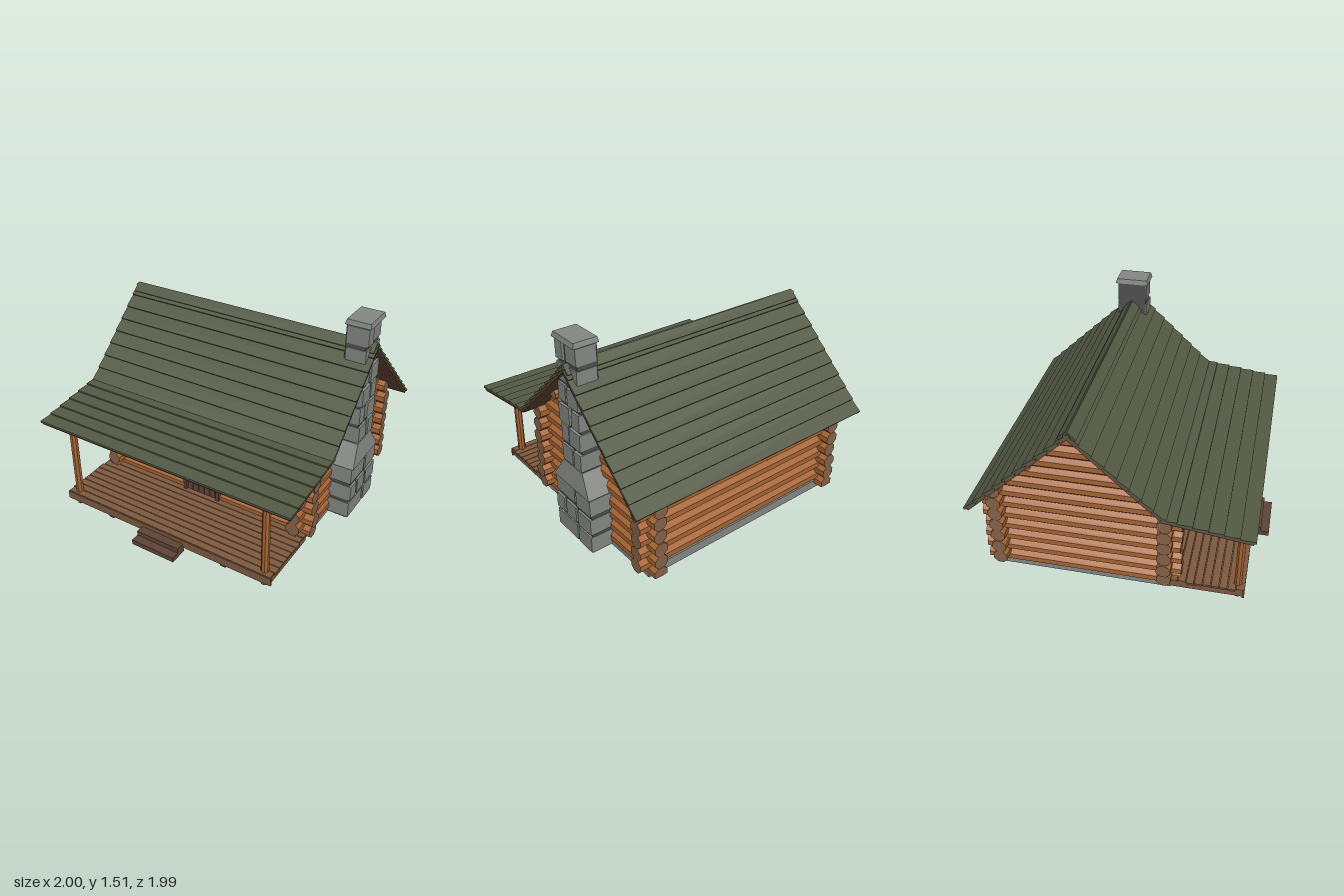
import * as THREE from 'three';

const mat = (name, color) => {
  const m = new THREE.MeshStandardMaterial({ color });
  m.name = name;
  return m;
};

export function createModel() {
  const M = {
    log: mat('log', 0xa66434), end: mat('logEnd', 0x86634a), roof: mat('shingle', 0x555a46),
    sheathing: mat('sheathing', 0x6b4a36), deck: mat('deckWood', 0x7f5b40), trim: mat('darkWood', 0x5e4537),
    stone: mat('stone', 0x858885), mortar: mat('mortar', 0x505050), iron: mat('iron', 0x3e4042),
    glass: mat('glass', 0x38566e),
  };
  const root = new THREE.Group();
  root.name = 'logCabin';
  let seed = 7;
  const rnd = (a = 0, b = 1) => {
    seed = (seed * 16807) % 2147483647;
    return a + (b - a) * seed / 2147483647;
  };
  const group = (name, parent = root) => {
    const g = new THREE.Group();
    g.name = name;
    parent.add(g);
    return g;
  };
  const add = (parent, name, geo, material) => {
    const m = new THREE.Mesh(geo, material);
    m.name = name;
    parent.add(m);
    return m;
  };
  // box given by its limits on each axis
  const box = (parent, name, material, x0, x1, y0, y1, z0, z1) => {
    const m = add(parent, name, new THREE.BoxGeometry(x1 - x0, y1 - y0, z1 - z0), material);
    m.position.set((x0 + x1) / 2, (y0 + y1) / 2, (z0 + z1) / 2);
    return m;
  };
  // faceted eight-sided log; rule(v) may trim the points
  const log = (parent, name, axis, r, len, x, y, z, rule) => {
    let g = new THREE.CylinderGeometry(r, r, len, 8).rotateY(Math.PI / 8);
    if (axis === 'x') g.rotateZ(-Math.PI / 2);
    if (axis === 'z') g.rotateX(Math.PI / 2);
    g.translate(x, y, z);
    if (rule) {
      const p = g.attributes.position, v = new THREE.Vector3();
      for (let i = 0; i < p.count; i++) {
        rule(v.fromBufferAttribute(p, i));
        p.setXYZ(i, v.x, v.y, v.z);
      }
    }
    g = g.toNonIndexed();
    g.computeVertexNormals();
    return add(parent, name, g, [M.log, M.end, M.end]);
  };

  const RIDGE_Z = -0.25, SLOPE = 0.947, PITCH = 0.0977, R = 0.053;

  // Foundation
  box(root, 'foundation', M.stone, -0.82, 0.82, 0, 0.066, -0.865, 0.37);

  // Front and back walls
  const walls = group('logWalls');
  for (const z of [0.33, -0.83])
    for (let i = 0; i < 7; i++)
      log(walls, 'longLog', 'x', R, 1.78 + rnd(-0.015, 0.02), 0, 0.115 + PITCH * i, z);

  // Side walls and gables, trimmed under the roof
  for (const x of [-0.78, 0.78])
    for (let i = 0; i < 13; i++) {
      const y = 0.066 + PITCH * i;
      log(walls, 'sideLog', 'z', R, 1.38 + rnd(-0.015, 0.015), x, y, RIDGE_Z, (v) => {
        v.y = Math.max(v.y, 0.042);
        const half = Math.max(0, (1.29 - v.y) / SLOPE);
        v.z = Math.max(v.z, RIDGE_Z - half);
        if (y > 0.72) v.z = Math.min(v.z, RIDGE_Z + half);
      });
    }

  // Purlins and ridge pole
  const beams = group('roofBeams');
  for (const [y, z] of [[0.955, 0.075], [0.955, -0.575], [1.235, RIDGE_Z]])
    log(beams, 'purlin', 'x', 0.037, 1.78, 0, y, z);

  // Roof slope: sheathing below and overlapping shingle courses above
  const slope = (name, zTop, yTop, zEnd, yEnd, n, ridgeCap) => {
    const g = group(name);
    const run = Math.abs(zEnd - zTop), len = Math.hypot(run, yTop - yEnd), step = len / n;
    g.rotation.order = 'YXZ';
    g.rotation.set(Math.atan2(yTop - yEnd, run), zEnd < zTop ? Math.PI : 0, 0);
    g.position.set(0, yTop, zTop);
    box(g, 'sheathing', M.sheathing, -0.995, 0.995, -0.036, -0.02, 0, len - 0.012);
    for (let i = 0; i < n; i++) {
      const c = box(g, 'shingleCourse', M.roof, -1, 1, -0.021, -0.005, i * step - 0.005, (i + 1) * step);
      c.rotation.x = -0.11;
    }
    if (ridgeCap) box(g, 'ridgeCap', M.roof, -0.99, 0.99, -0.006, 0.008, 0, 0.075);
  };
  slope('backRoof', RIDGE_Z, 1.335, -0.995, 0.625, 10, true);
  slope('frontRoof', RIDGE_Z, 1.335, 0.36, 0.76, 8, true);
  slope('porchRoof', 0.33, 0.772, 0.925, 0.692, 6, false);

  // Porch deck
  const porch = group('porch');
  box(porch, 'deckFrame', M.deck, -0.85, 0.85, 0.042, 0.092, 0.37, 0.868);
  for (let i = 0; i < 9; i++) {
    const z = 0.37 + i * 0.0567, j = rnd(0, 0.012);
    box(porch, 'deckPlank', M.deck, -0.865 + j, 0.865 - j, 0.09, 0.106, z, z + 0.051);
  }
  box(porch, 'deckFascia', M.deck, -0.86, 0.86, 0.04, 0.1, 0.866, 0.88);
  for (const x of [-0.48, 0.48]) box(porch, 'footing', M.trim, x - 0.022, x + 0.022, 0, 0.045, 0.81, 0.855);

  // Posts and beam
  for (const x of [-0.79, 0.79]) log(porch, 'porchPost', 'y', 0.028, 0.655, x, 0.3275, 0.83);
  log(porch, 'porchBeam', 'x', 0.029, 1.72, 0, 0.656, 0.83);

  // Steps
  const steps = group('steps');
  box(steps, 'upperStep', M.trim, -0.173, 0.173, 0.036, 0.072, 0.86, 0.94);
  box(steps, 'lowerStep', M.trim, -0.173, 0.173, 0, 0.036, 0.87, 1.0);

  // Windows
  for (const cx of [-0.475, 0.475]) {
    const w = group('window');
    w.position.x = cx;
    box(w, 'pane', M.glass, -0.125, 0.125, 0.32, 0.59, 0.372, 0.384);
    for (const s of [-1, 1]) {
      box(w, 'jamb', M.trim, s * 0.13 - 0.0125, s * 0.13 + 0.0125, 0.31, 0.603, 0.36, 0.4);
    }
    box(w, 'head', M.trim, -0.1425, 0.1425, 0.58, 0.605, 0.36, 0.4);
    box(w, 'bottomRail', M.trim, -0.13, 0.13, 0.31, 0.328, 0.36, 0.398);
    box(w, 'muntin', M.trim, -0.006, 0.006, 0.32, 0.59, 0.38, 0.391);
    box(w, 'crossMuntin', M.trim, -0.125, 0.125, 0.449, 0.461, 0.38, 0.391);
    box(w, 'sill', M.trim, -0.157, 0.157, 0.286, 0.311, 0.36, 0.415);
  }

  // Door
  const door = group('door');
  box(door, 'backing', M.iron, -0.13, 0.13, 0.106, 0.61, 0.36, 0.381);
  for (let i = 0; i < 5; i++)
    box(door, 'doorPlank', M.trim, -0.122 + i * 0.049, -0.077 + i * 0.049, 0.112, 0.605, 0.37, 0.39);
  for (const s of [-1, 1])
    box(door, 'jamb', M.trim, s * 0.14 - 0.013, s * 0.14 + 0.013, 0.106, 0.62, 0.35, 0.4);
  box(door, 'lintel', M.trim, -0.153, 0.153, 0.607, 0.628, 0.35, 0.402);
  for (const y of [0.195, 0.56]) {
    box(door, 'strap', M.iron, -0.085, 0.122, y - 0.008, y + 0.008, 0.388, 0.396);
    box(door, 'hinge', M.iron, 0.112, 0.128, y - 0.018, y + 0.018, 0.388, 0.403);
  }
  box(door, 'handle', M.iron, -0.1, -0.09, 0.33, 0.395, 0.395, 0.408);
  for (const y of [0.335, 0.39]) box(door, 'handleMount', M.iron, -0.1, -0.09, y - 0.005, y + 0.005, 0.385, 0.4);

  // Lantern
  const lantern = group('lantern');
  lantern.position.set(0.237, 0.505, 0.425);
  const ring = (name, material, r0, r1, h, y) => {
    const g = new THREE.CylinderGeometry(r0, r1, h, 6).toNonIndexed();
    g.computeVertexNormals();
    add(lantern, name, g, material).position.y = y;
  };
  ring('base', M.iron, 0.024, 0.018, 0.012, -0.046);
  ring('lampGlass', M.log, 0.027, 0.02, 0.07, -0.006);
  ring('hood', M.iron, 0.008, 0.035, 0.022, 0.039);
  ring('finial', M.iron, 0.006, 0.006, 0.016, 0.056);
  for (let i = 0; i < 6; i++) {
    const a = i * Math.PI / 3;
    const b = add(lantern, 'cageBar', new THREE.BoxGeometry(0.004, 0.08, 0.004), M.iron);
    b.position.set(Math.sin(a) * 0.025, -0.006, Math.cos(a) * 0.025);
  }
  box(lantern, 'bracket', M.iron, -0.005, 0.005, 0.048, 0.057, -0.055, 0.005);

  // Chimney: mortar core, irregular stones on the three outer sides
  const chimney = group('chimney');
  chimney.position.z = RIDGE_Z;
  box(chimney, 'baseCore', M.mortar, 0.8, 0.968, 0.002, 0.44, -0.2, 0.2);
  box(chimney, 'shaftCore', M.mortar, 0.805, 0.952, 0.43, 1.49, -0.106, 0.106);
  const stones = (y0, y1, half, xOut, counts) => {
    const h = (y1 - y0) / counts.length;
    counts.forEach((n, row) => {
      const cuts = [-half];
      for (let k = 1; k < n; k++) cuts.push(-half + 2 * half * (k / n + (row % 2 ? 0.07 : -0.07) + rnd(-0.03, 0.03)));
      cuts.push(half);
      for (let k = 0; k < n; k++) {
        const s = box(chimney, 'chimneyStone', M.stone, 0.815, xOut + rnd(-0.006, 0.006),
          y0 + row * h + rnd(0.008, 0.018), y0 + (row + 1) * h - rnd(0.006, 0.016),
          cuts[k] + (k ? 0.011 : rnd(-0.003, 0.004)), cuts[k + 1] - (k < n - 1 ? 0.011 : rnd(-0.003, 0.004)));
        s.rotation.x = rnd(-0.04, 0.04);
      }
    });
  };
  stones(0, 0.435, 0.208, 0.983, [2, 3, 2]);
  stones(0.59, 1.48, 0.112, 0.966, [2, 2, 2, 2, 2, 2]);

  // Sloped shoulder and flared cap: boxes with the top face drawn in
  const taper = (name, x0, x1, y0, y1, half, topX1, topHalf, topX0 = x0) => {
    let g = new THREE.BoxGeometry(1, 1, 1);
    const p = g.attributes.position;
    for (let i = 0; i < p.count; i++) {
      const top = p.getY(i) > 0, right = p.getX(i) > 0;
      const x = right ? (top ? topX1 : x1) : (top ? topX0 : x0);
      p.setXYZ(i, x, top ? y1 : y0, Math.sign(p.getZ(i)) * (top ? topHalf : half));
    }
    g = g.toNonIndexed();
    g.computeVertexNormals();
    add(chimney, name, g, M.stone);
  };
  taper('shoulder', 0.8, 0.988, 0.435, 0.59, 0.208, 0.965, 0.11);
  taper('cap', 0.798, 0.982, 1.48, 1.515, 0.125, 0.974, 0.115, 0.806);

  return root;
}
